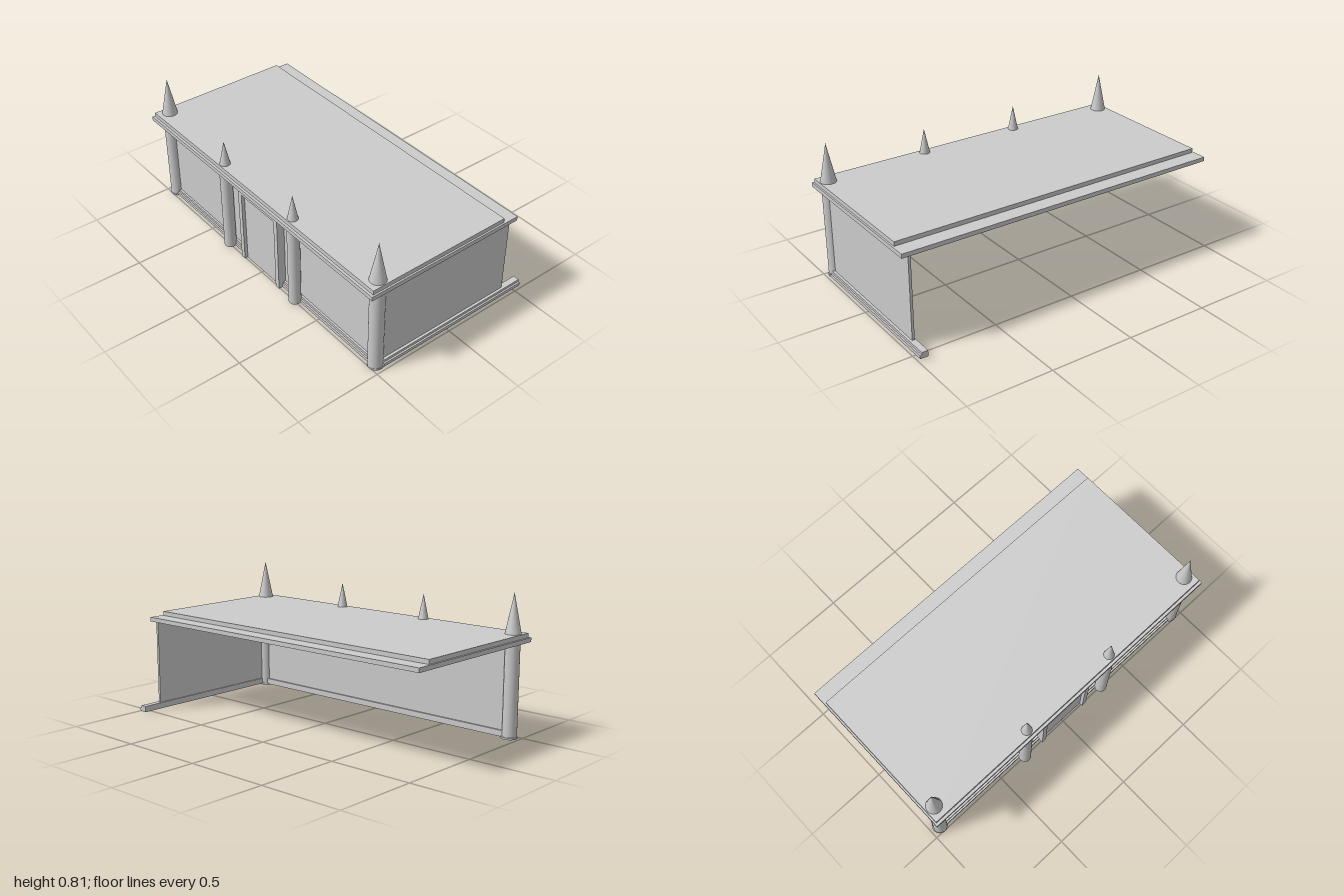
import * as THREE from 'three';

export function createModel() {
  const model = new THREE.Group();
  const grey = new THREE.MeshStandardMaterial({ color: 0xcccccc });

  const add = (name, geometry, x, y, z) => {
    const mesh = new THREE.Mesh(geometry, grey);
    mesh.name = name;
    mesh.position.set(x, y, z);
    model.add(mesh);
    return mesh;
  };
  // Box given by its limits on each axis
  const box = (name, [x0, x1], [y0, y1], [z0, z1]) =>
    add(name, new THREE.BoxGeometry(x1 - x0, y1 - y0, z1 - z0),
      (x0 + x1) / 2, (y0 + y1) / 2, (z0 + z1) / 2);

  // Stepped flat roof
  box('roofLowerSlab', [-1, 1], [0.53, 0.555], [-0.44, 0.55]);
  box('roofUpperSlab', [-0.99, 0.99], [0.555, 0.58], [-0.35, 0.535]);

  // Front wall and single side wall; the back and other side stay open
  box('frontWall', [-0.94, 0.955], [0.03, 0.53], [0.448, 0.463]);
  box('sideWall', [0.945, 0.96], [0.03, 0.53], [-0.43, 0.46]);

  // Stepped plinths under the walls
  box('frontPlinthLower', [-0.94, 0.94], [0.005, 0.025], [0.437, 0.485]);
  box('frontPlinthUpper', [-0.94, 0.94], [0.025, 0.04], [0.437, 0.475]);
  box('sidePlinthLower', [0.938, 0.985], [0.005, 0.025], [-0.55, 0.44]);
  box('sidePlinthUpper', [0.938, 0.975], [0.025, 0.04], [-0.55, 0.44]);

  // Columns with pointed spires above the roof
  for (const side of [-1, 1]) {
    const column = (name, x, z, radius, bottom, coneRadius, tip) => {
      add(name + 'Column', new THREE.CylinderGeometry(radius, radius, 0.53 - bottom, 32),
        side * x, (0.53 + bottom) / 2, z);
      add(name + 'Spire', new THREE.ConeGeometry(coneRadius, tip - 0.58, 32),
        side * x, (tip + 0.58) / 2, z);
    };
    column('corner', 0.94, 0.463, 0.041, 0, 0.045, 0.805);
    column('inner', 0.31, 0.5, 0.035, 0.01, 0.03, 0.725);
    add('cornerColumnFoot', new THREE.CylinderGeometry(0.045, 0.045, 0.01, 32), side * 0.94, 0.005, 0.46);
  }

  // Door frame with an open middle
  const frame = new THREE.Shape([
    [-0.18, 0.005], [-0.15, 0.005], [-0.15, 0.46], [0.147, 0.46],
    [0.147, 0.005], [0.177, 0.005], [0.177, 0.485], [-0.18, 0.485],
  ].map(([x, y]) => new THREE.Vector2(x, y)));
  add('doorFrame', new THREE.ExtrudeGeometry(frame, { depth: 0.05, bevelEnabled: false }), 0, 0, 0.46);
  box('door', [-0.15, 0.147], [0.005, 0.46], [0.455, 0.49]);

  return model;
}
